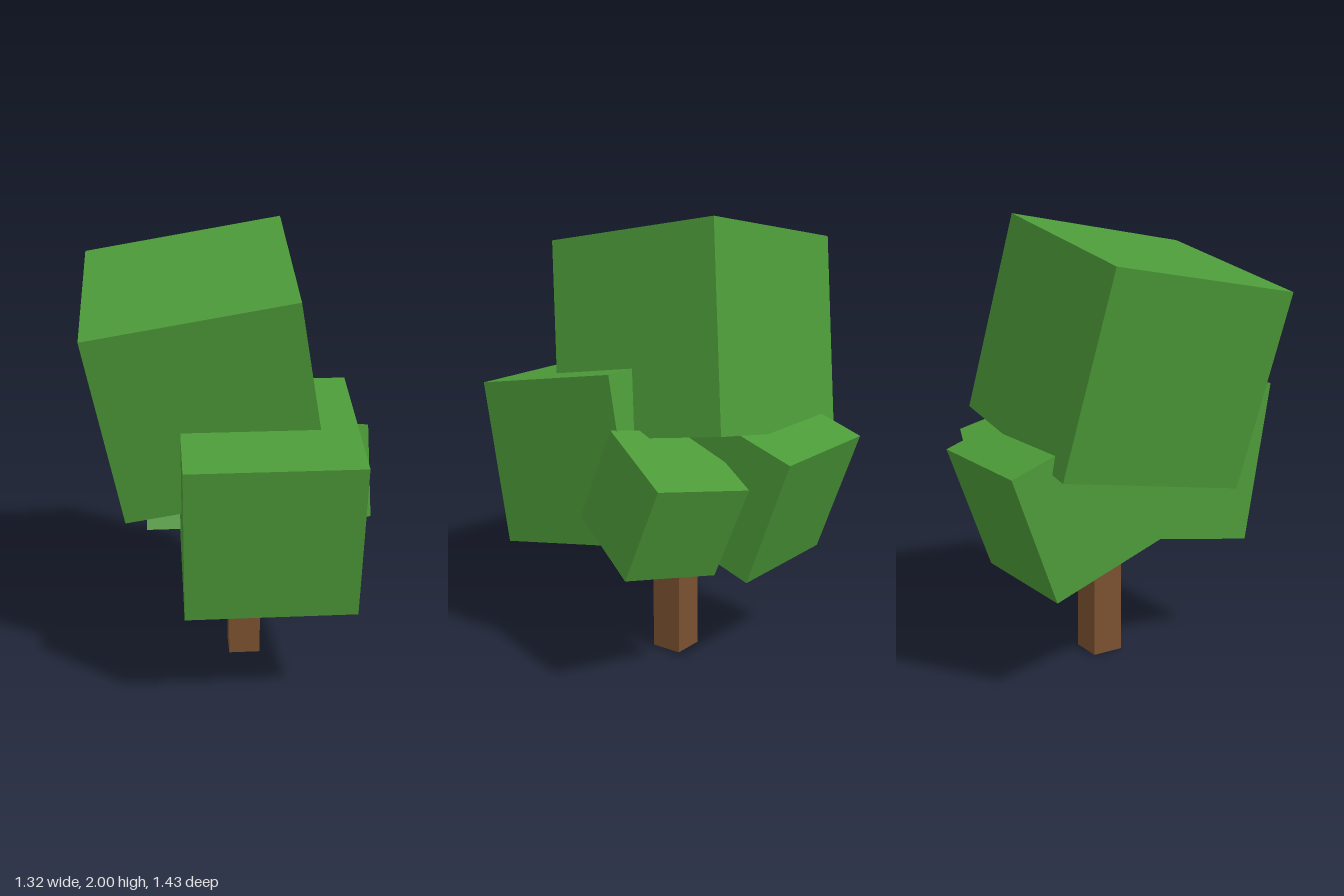
import * as THREE from 'three';

export function createModel() {
  const group = new THREE.Group();
  const bark = new THREE.MeshStandardMaterial({ color: 0x7a5030 });
  bark.name = 'bark brown';
  const leaf = new THREE.MeshStandardMaterial({ color: 0x4c9a38 });
  leaf.name = 'leaf green';

  // Adds a box with its centre and tilt in degrees
  function addBox(name, size, centre, tilt, material) {
    const mesh = new THREE.Mesh(new THREE.BoxGeometry(...size), material);
    mesh.name = name;
    mesh.position.set(...centre);
    mesh.rotation.set(...tilt.map(THREE.MathUtils.degToRad));
    group.add(mesh);
  }

  // Square trunk, running up into the foliage
  addBox('trunk', [0.145, 0.85, 0.145], [0.025, 0.425, -0.026], [0, 0, 0], bark);

  // Tilted foliage cubes: name, edge, centre, tilt
  const foliage = [
    ['crownFoliage', 0.883, [-0.149, 1.422, -0.005], [10, 0, 10]],
    ['frontFoliage', 0.736, [0.1, 0.928, 0.29], [10, 0, 0]],
    ['backFoliage', 0.59, [-0.125, 0.839, -0.332], [-20, 0, 0]],
    ['leftFoliage', 0.443, [0.368, 0.811, -0.214], [-22.5, -22.5, 0]],
  ];
  for (const [name, edge, centre, tilt] of foliage) {
    addBox(name, [edge, edge, edge], centre, tilt, leaf);
  }

  return group;
}
